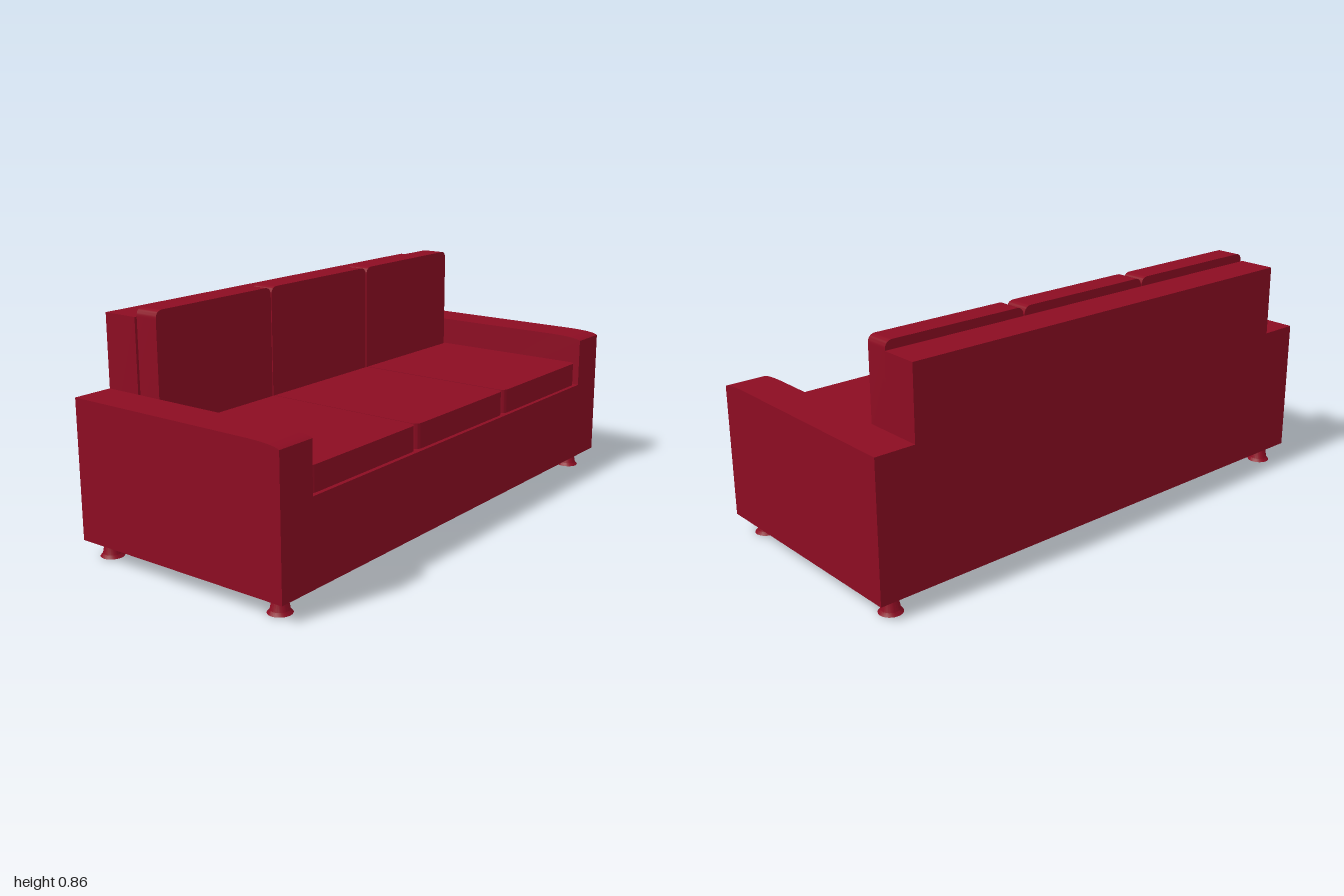
import * as THREE from 'three';
import { toCreasedNormals } from 'three/addons/utils/BufferGeometryUtils.js';

const fabric = new THREE.MeshStandardMaterial({ color: 0x8c0c22 });
fabric.name = 'red fabric';

function addMesh(group, name, geometry, x = 0, y = 0, z = 0) {
  const mesh = new THREE.Mesh(geometry, fabric);
  mesh.name = name;
  mesh.position.set(x, y, z);
  group.add(mesh);
  return mesh;
}

// Box given by its lower and upper corners
function addBox(group, name, [x0, y0, z0], [x1, y1, z1]) {
  return addMesh(group, name, new THREE.BoxGeometry(x1 - x0, y1 - y0, z1 - z0),
    (x0 + x1) / 2, (y0 + y1) / 2, (z0 + z1) / 2);
}

function extrude(shape, depth) {
  const geometry = new THREE.ExtrudeGeometry(shape, { depth, bevelEnabled: false, curveSegments: 8 });
  return toCreasedNormals(geometry, 0.6);
}

// Slab w wide and h tall, standing on its bottom edge, with the two top corners rounded
function slab(w, h, depth, r) {
  const s = new THREE.Shape();
  s.moveTo(-w / 2, 0);
  s.lineTo(w / 2, 0);
  s.lineTo(w / 2, h - r);
  s.quadraticCurveTo(w / 2, h, w / 2 - r, h);
  s.lineTo(-w / 2 + r, h);
  s.quadraticCurveTo(-w / 2, h, -w / 2, h - r);
  s.closePath();
  return extrude(s, depth);
}

export function createModel() {
  const sofa = new THREE.Group();
  sofa.name = 'sofa';

  // Frame
  addBox(sofa, 'base', [-0.85, 0.065, -0.445], [0.85, 0.37, 0.445]);
  addBox(sofa, 'backrest', [-0.85, 0.37, -0.445], [0.85, 0.83, -0.305]);

  // Arms: side profile with a softened front top edge, extruded across the width
  const profile = new THREE.Shape();
  profile.moveTo(-0.445, 0.065);
  profile.lineTo(0.445, 0.065);
  profile.lineTo(0.445, 0.553);
  profile.quadraticCurveTo(0.425, 0.566, 0.32, 0.567);
  profile.lineTo(-0.445, 0.567);
  profile.closePath();
  const armGeometry = extrude(profile, 0.15);
  armGeometry.rotateY(-Math.PI / 2);
  addMesh(sofa, 'leftArm', armGeometry, 1);
  addMesh(sofa, 'rightArm', armGeometry, -0.85);

  // Cushions
  const seatGeometry = slab(0.56, 0.635, 0.09, 0.03);
  seatGeometry.rotateX(Math.PI / 2);
  const backGeometry = slab(0.56, 0.49, 0.09, 0.03);
  for (const x of [-0.564, 0, 0.566]) {
    addMesh(sofa, 'seatCushion', seatGeometry, x, 0.461, -0.204);
    addMesh(sofa, 'backCushion', backGeometry, x, 0.371, -0.301);
  }

  // Turned feet
  const points = [[0, 0], [0.042, 0], [0.033, 0.011], [0.022, 0.066], [0, 0.066]];
  const footGeometry = toCreasedNormals(
    new THREE.LatheGeometry(points.map(([r, y]) => new THREE.Vector2(r, y)), 24), 0.5);
  for (const x of [-0.926, 0.925]) {
    for (const z of [-0.388, 0.372]) addMesh(sofa, 'foot', footGeometry, x, 0, z);
  }

  return sofa;
}
